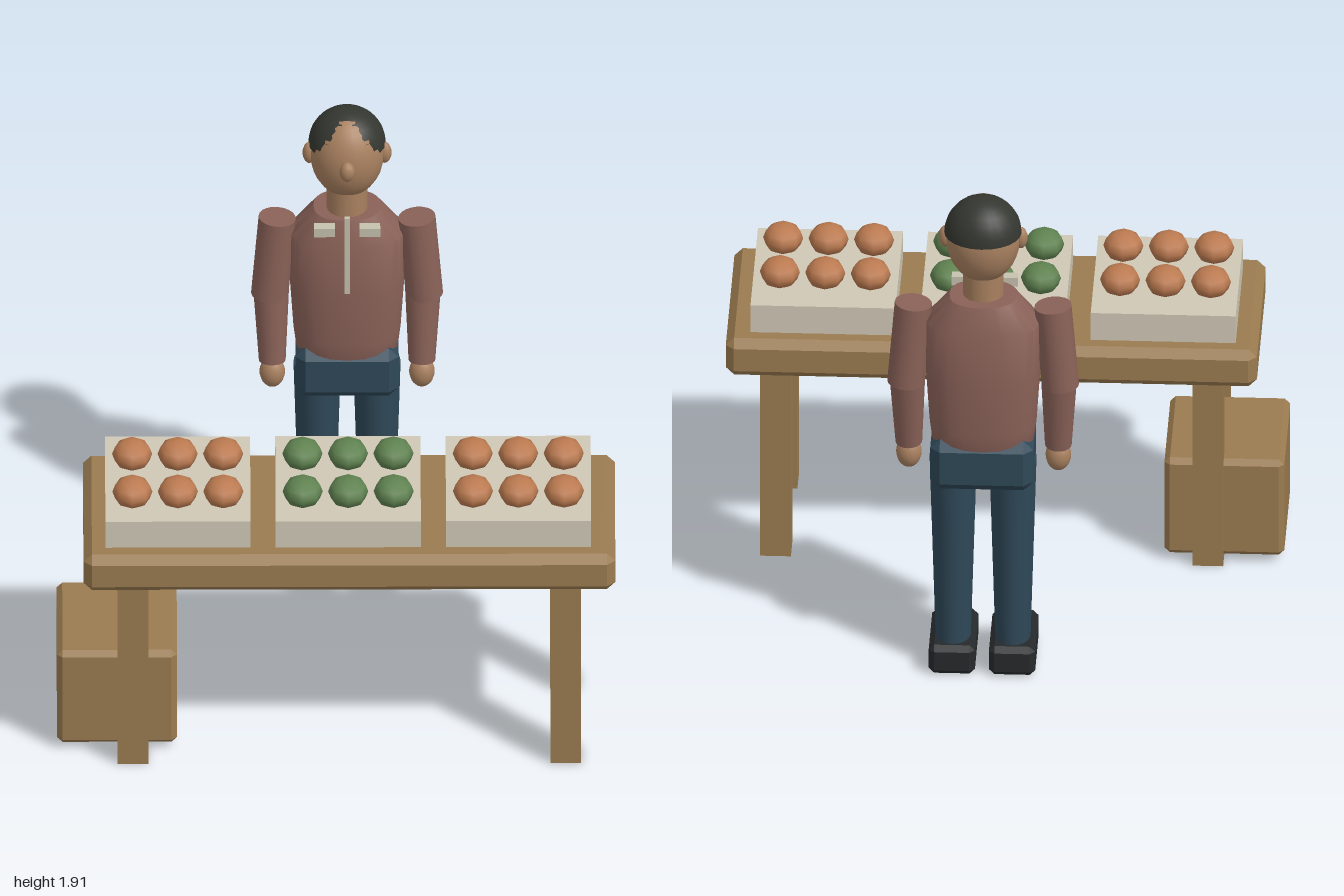
import * as THREE from 'three';
import { ConvexGeometry } from 'three/addons/geometries/ConvexGeometry.js';
import { toCreasedNormals } from 'three/addons/utils/BufferGeometryUtils.js';

const mat = (color) => new THREE.MeshStandardMaterial({ color });
const WOOD = mat(0x9a7b50), TRAY = mat(0xd0c8b6), ORANGE = mat(0xbb7a50), GREEN = mat(0x5f8250);
const SKIN = mat(0xa8805f), HAIR = mat(0x343630), SHIRT = mat(0x8a6258), JEANS = mat(0x2f4858);
const SHOE = mat(0x26292b), TRIM = mat(0xc6c1ae);

function add(parent, name, geometry, material, x = 0, y = 0, z = 0) {
  const mesh = new THREE.Mesh(geometry, material);
  mesh.name = name;
  mesh.position.set(x, y, z);
  parent.add(mesh);
  return mesh;
}

function group(parent, name, x = 0, y = 0, z = 0) {
  const g = new THREE.Group();
  g.name = name;
  g.position.set(x, y, z);
  parent.add(g);
  return g;
}

// Box with every edge cut at 45 degrees
function chamferBox(w, h, d, c) {
  const half = [w / 2, h / 2, d / 2], points = [];
  for (const sx of [-1, 1]) for (const sy of [-1, 1]) for (const sz of [-1, 1])
    for (let axis = 0; axis < 3; axis++) {
      const p = half.map((v, i) => (i === axis ? v : v - c));
      points.push(new THREE.Vector3(p[0] * sx, p[1] * sy, p[2] * sz));
    }
  return new ConvexGeometry(points);
}

const ellipsoid = (rx, ry, rz, w = 24, h = 16) => new THREE.SphereGeometry(1, w, h).scale(rx, ry, rz);

// Tapered cylinder running between two points
function limb(parent, name, material, top, bottom, rTop, rBottom) {
  const a = new THREE.Vector3(...top), b = new THREE.Vector3(...bottom);
  const dir = a.clone().sub(b);
  const mesh = add(parent, name, new THREE.CylinderGeometry(rTop, rBottom, dir.length(), 20), material);
  mesh.position.copy(a).add(b).multiplyScalar(0.5);
  mesh.quaternion.setFromUnitVectors(new THREE.Vector3(0, 1, 0), dir.normalize());
}

// Torso: rows of [y, half width, half depth] from the shoulders down
function torsoGeometry() {
  const rows = [[1.51, 0.12, 0.105], [1.41, 0.205, 0.14], [1.2, 0.205, 0.142],
    [1.0, 0.192, 0.14], [0.92, 0.182, 0.13], [0.85, 0.14, 0.1]];
  const geo = new THREE.CylinderGeometry(1, 1, 1, 24, rows.length - 1);
  const p = geo.attributes.position;
  const square = (v) => Math.sign(v) * Math.abs(v) ** 0.8;
  for (let i = 0; i < p.count; i++) {
    const [y, rx, rz] = rows[Math.round((0.5 - p.getY(i)) * (rows.length - 1))];
    p.setXYZ(i, square(p.getX(i)) * rx, y, square(p.getZ(i)) * rz);
  }
  return toCreasedNormals(geo, 0.7);
}

function buildStall(root) {
  const table = group(root, 'table', 0.047, 0, 0.415);
  add(table, 'tableTop', chamferBox(1.905, 0.15, 0.72, 0.03), WOOD, 0, 0.83);
  const leg = new THREE.BoxGeometry(0.11, 0.77, 0.11);
  for (const sx of [-1, 1]) for (const sz of [-1, 1])
    add(table, 'tableLeg', leg, WOOD, sx * 0.775, 0.385, sz * 0.25);

  // Trays, each with two rows of three fruits
  const trayGeo = new THREE.BoxGeometry(0.52, 0.12, 0.57);
  const fruitGeo = ellipsoid(0.072, 0.055, 0.078, 8, 6);
  [ORANGE, GREEN, ORANGE].forEach((material, i) => {
    const tray = group(root, 'fruitTray', 0.043 + (i - 1) * 0.61, 0, 0.415);
    add(tray, 'tray', trayGeo, TRAY, 0, 0.955, 0);
    for (const col of [-1, 0, 1]) for (const row of [-1, 1])
      add(tray, 'fruit', fruitGeo, material, col * 0.163, 1.055, 0.02 + row * 0.126);
  });

  add(root, 'crate', chamferBox(0.43, 0.39, 0.49, 0.02), WOOD, -0.785, 0.22, 0.385);
}

function buildSeller(root) {
  const seller = group(root, 'seller', 0.043, 0, -0.635);
  add(seller, 'torso', torsoGeometry(), SHIRT);
  add(seller, 'hips', chamferBox(0.37, 0.2, 0.27, 0.035), JEANS, 0, 0.865, 0);

  // Head
  add(seller, 'neck', new THREE.CylinderGeometry(0.073, 0.073, 0.14, 20), SKIN, 0, 1.55, 0.01);
  add(seller, 'head', ellipsoid(0.133, 0.167, 0.127), SKIN, 0, 1.738, 0.008);
  add(seller, 'nose', ellipsoid(0.028, 0.038, 0.028, 12, 8), SKIN, 0, 1.74, 0.142);
  const cap = [new THREE.Vector2(0, 0)];
  for (let i = 0; i <= 8; i++) {
    const a = (i / 8) * Math.PI / 2;
    cap.push(new THREE.Vector2(Math.cos(a), Math.sin(a)));
  }
  const hair = new THREE.LatheGeometry(cap, 24).scale(0.139, 0.14, 0.132);
  add(seller, 'hair', toCreasedNormals(hair, 0.8), HAIR, 0, 1.77, -0.009);

  // Shirt front
  add(seller, 'placket', new THREE.BoxGeometry(0.02, 0.32, 0.014), TRIM, 0, 1.39, 0.148);

  // Paired parts
  for (const s of [-1, 1]) {
    add(seller, 'ear', ellipsoid(0.025, 0.042, 0.025, 12, 8), SKIN, s * 0.135, 1.74, 0.01);
    add(seller, 'collar', new THREE.BoxGeometry(0.075, 0.035, 0.04), TRIM, s * 0.081, 1.493, 0.141);
    limb(seller, 'upperArm', SHIRT, [s * 0.25, 1.465, 0.008], [s * 0.277, 1.14, 0.008], 0.067, 0.067);
    limb(seller, 'forearm', SHIRT, [s * 0.272, 1.16, 0.008], [s * 0.268, 0.88, 0.04], 0.064, 0.048);
    add(seller, 'hand', ellipsoid(0.046, 0.06, 0.047, 16, 12), SKIN, s * 0.268, 0.835, 0.045);
    const leg = new THREE.CylinderGeometry(0.085, 0.063, 0.75, 20).scale(1, 1, 1.22);
    add(seller, 'leg', leg, JEANS, s * 0.107, 0.475, 0);
    add(seller, 'shoe', chamferBox(0.166, 0.115, 0.31, 0.02), SHOE, s * 0.108, 0.0575, 0.05);
  }
}

export function createModel() {
  const root = new THREE.Group();
  root.name = 'marketStall';
  buildStall(root);
  buildSeller(root);
  return root;
}
